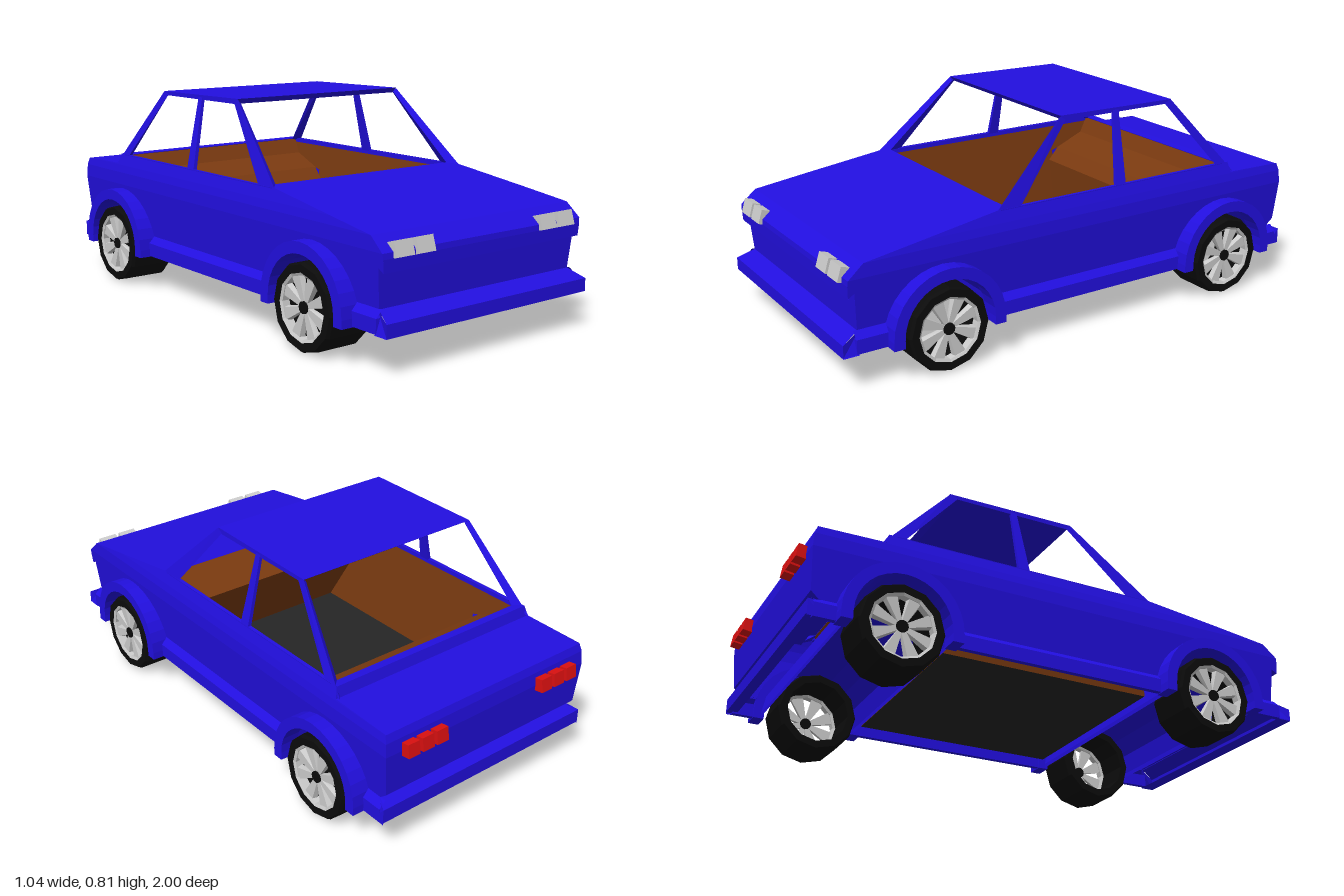
import * as THREE from 'three';
import { ConvexGeometry } from 'three/addons/geometries/ConvexGeometry.js';

const mat = (color) => new THREE.MeshStandardMaterial({ color, flatShading: true, side: THREE.DoubleSide });
const blue = mat(0x220fe0), brown = mat(0x7a3a10), dark = mat(0x262626), black = mat(0x0b0b0b);
const grey = mat(0xcccccc), red = mat(0xdd1111);

const WHEEL_Z = [0.615, -0.65], WHEEL_Y = 0.157;

function add(parent, name, geometry, material) {
  const mesh = new THREE.Mesh(geometry, material);
  mesh.name = name;
  parent.add(mesh);
  return mesh;
}

// Sheet spanning the width, following [z, y, halfWidth] rows
function strip(rows) {
  const pos = [], index = [];
  rows.forEach(([z, y, w], i) => {
    pos.push(w, y, z, -w, y, z);
    if (i) index.push(2 * i - 2, 2 * i, 2 * i - 1, 2 * i - 1, 2 * i, 2 * i + 1);
  });
  const g = new THREE.BufferGeometry();
  g.setAttribute('position', new THREE.Float32BufferAttribute(pos, 3));
  g.setIndex(index);
  g.computeVertexNormals();
  return g;
}

// Flat outline in (z, y), placed at x = width(y)
function sidePanel(points, width) {
  const g = new THREE.ShapeGeometry(new THREE.Shape(points.map(([z, y]) => new THREE.Vector2(z, y))));
  const p = g.attributes.position;
  for (let i = 0; i < p.count; i++) p.setXYZ(i, width(p.getY(i)), p.getY(i), p.getX(i));
  g.computeVertexNormals();
  return g;
}

// Outline in (z, y), extruded from x0 to x1
function extrudeX(shape, x0, x1) {
  const g = new THREE.ExtrudeGeometry(shape, { depth: x1 - x0, bevelEnabled: false, curveSegments: 8 });
  return g.rotateY(-Math.PI / 2).translate(x1, 0, 0);
}

const outline = (pts) => new THREE.Shape(pts.map(([z, y]) => new THREE.Vector2(z, y)));
const hull = (pts) => new ConvexGeometry(pts.map((p) => new THREE.Vector3(...p)));
const lerp = (y, y0, y1, a, b) => a + (b - a) * (y - y0) / (y1 - y0);

// Points round a wheel opening, from its front to its rear foot
function archCut(z, r, y) {
  const a = Math.asin((y - WHEEL_Y) / r);
  return Array.from({ length: 9 }, (_, i) => {
    const t = a + (Math.PI - 2 * a) * i / 8;
    return [z + r * Math.cos(t), WHEEL_Y + r * Math.sin(t)];
  });
}

function createWheel() {
  const wheel = new THREE.Group();
  wheel.name = 'wheel';
  const h = 0.0925;
  const profile = [[0.122, -h], [0.15, -h], [0.157, -0.08], [0.157, 0.08], [0.15, h], [0.122, h], [0.122, -h]];
  add(wheel, 'tyre', new THREE.LatheGeometry(profile.map((p) => new THREE.Vector2(...p)), 12).rotateZ(-Math.PI / 2), black);
  const rim = [[0.122, 0.09], [0.112, 0.085], [0.112, 0.055], [0.122, 0.05]];
  add(wheel, 'rim', new THREE.LatheGeometry(rim.map((p) => new THREE.Vector2(...p)), 12).rotateZ(-Math.PI / 2), grey);
  for (let i = 0; i < 8; i++) {
    const spoke = add(wheel, 'spoke', hull([
      [0.078, 0.015, -0.008], [0.078, 0.015, 0.008], [0.062, 0.015, -0.008], [0.062, 0.015, 0.008],
      [0.082, 0.115, -0.022], [0.082, 0.115, 0.022], [0.06, 0.115, -0.027], [0.06, 0.115, 0.027],
    ]), grey);
    spoke.rotation.x = (i + 0.5) * Math.PI / 4;
  }
  add(wheel, 'hubCap', new THREE.CylinderGeometry(0.022, 0.022, 0.03, 12).rotateZ(Math.PI / 2).translate(0.07, 0, 0), black);
  return wheel;
}

// Everything on the left side; the right side mirrors it
function createSide() {
  const side = new THREE.Group();
  const lower = [
    [0.935, 0.21], ...WHEEL_Z.flatMap((z) => archCut(z, 0.2, 0.21)),
    [-0.92, 0.21], [-0.955, 0.24], [-0.965, 0.4], [0.968, 0.4], [0.97, 0.38], [0.968, 0.335], [0.945, 0.35],
  ];
  add(side, 'lowerSide', sidePanel(lower, (y) => lerp(y, 0.21, 0.4, 0.452, 0.47)), blue);

  // Bands tapering up to the window line: [y, frontZ, backZ, halfWidth]
  const bands = [[0.4, 0.968, -0.965, 0.47], [0.45, 0.91, -0.96, 0.468], [0.48, 0.7, -0.95, 0.462], [0.525, 0.38, -0.69, 0.45]];
  for (let i = 0; i < 3; i++) {
    const [y0, f0, b0, w0] = bands[i], [y1, f1, b1, w1] = bands[i + 1];
    const rear = i === 2 ? [[b1, y1], [-0.7, 0.485]] : [[b1, y1]];
    add(side, 'upperSide', sidePanel([[f0, y0], [f1, y1], ...rear, [b0, y0]], (y) => lerp(y, y0, y1, w0, w1)), blue);
  }

  // Sills and bumper returns between the wheel openings
  for (const [a, b] of [[0.95, 0.81], [0.42, -0.455], [-0.845, -0.95]]) {
    add(side, 'sill', extrudeX(outline([[a, 0.138], [b, 0.138], [b, 0.19], [a, 0.19]]), 0.458, 0.478), blue);
    add(side, 'sillTop', sidePanel([[a, 0.19], [b, 0.19], [b, 0.215], [a, 0.215]], (y) => lerp(y, 0.19, 0.215, 0.478, 0.452)), blue);
  }

  // Wheel arch flares
  for (const z of WHEEL_Z) {
    const s = new THREE.Shape();
    s.moveTo(z + 0.22, 0.135);
    s.lineTo(z + 0.22, 0.165);
    s.absarc(z, 0.165, 0.22, 0, Math.PI, false);
    s.lineTo(z - 0.22, 0.135);
    s.lineTo(z - 0.178, 0.135);
    s.absarc(z, 0.165, 0.178, Math.PI, 0, true);
    s.lineTo(z + 0.178, 0.135);
    add(side, 'wheelArch', extrudeX(s, 0.452, 0.522), blue);
    const wheel = createWheel();
    wheel.position.set(0.4225, WHEEL_Y, z);
    side.add(wheel);
  }

  // Roof pillars and window ledge
  add(side, 'frontPillar', hull([
    [0.45, 0.525, 0.38], [0.418, 0.53, 0.345], [0.448, 0.52, 0.285],
    [0.39, 0.805, 0.078], [0.376, 0.79, 0.078], [0.39, 0.79, 0.055]]), blue);
  add(side, 'middlePillar', hull([
    [0.45, 0.52, -0.137], [0.45, 0.52, -0.182], [0.435, 0.52, -0.137], [0.435, 0.52, -0.182],
    [0.39, 0.795, -0.16], [0.39, 0.795, -0.185], [0.378, 0.795, -0.16], [0.378, 0.795, -0.185]]), blue);
  add(side, 'rearPillar', hull([
    [0.455, 0.485, -0.715], [0.42, 0.52, -0.655], [0.45, 0.52, -0.63],
    [0.39, 0.8, -0.435], [0.376, 0.788, -0.43], [0.39, 0.788, -0.405]]), blue);
  add(side, 'windowLedge', extrudeX(outline([[0.37, 0.505], [0.37, 0.524], [-0.66, 0.524], [-0.66, 0.505]]), 0.436, 0.451), blue);
  add(side, 'cabinWall', sidePanel([[0.35, 0.522], [0.38, 0.15], [-0.45, 0.15], [-0.46, 0.4], [-0.65, 0.45], [-0.65, 0.522]],
    (y) => lerp(y, 0.15, 0.522, 0.39, 0.438)), brown);

  // Lamps
  for (const x of [0.292, 0.385]) {
    const lamp = add(side, 'headlamp', new THREE.BoxGeometry(x < 0.3 ? 0.075 : 0.078, 0.055, 0.04), grey);
    lamp.position.set(x, 0.404, 0.958);
    lamp.rotation.x = -0.3;
  }
  for (let i = 0; i < 3; i++) {
    const lamp = add(side, 'tailLamp', new THREE.BoxGeometry(0.05, 0.05, 0.04), red);
    lamp.position.set(0.25 + i * 0.063, 0.408, -0.976);
    lamp.rotation.x = 0.15;
  }
  return side;
}

export function createModel() {
  const car = new THREE.Group();
  car.name = 'car';
  const left = createSide(), right = createSide();
  left.name = 'leftSide';
  right.name = 'rightSide';
  right.scale.x = -1;
  car.add(left, right);

  // Nose, hood and windscreen base
  add(car, 'noseAndHood', strip([
    [0.935, 0.21, 0.452], [0.945, 0.35, 0.465], [0.968, 0.335, 0.464], [0.97, 0.38, 0.468], [0.968, 0.4, 0.47],
    [0.91, 0.45, 0.468], [0.7, 0.48, 0.462], [0.38, 0.525, 0.45], [0.345, 0.53, 0.44]]), blue);
  // Trunk and tail
  add(car, 'trunkAndTail', strip([
    [-0.655, 0.522, 0.44], [-0.69, 0.525, 0.45], [-0.7, 0.485, 0.461], [-0.95, 0.478, 0.462], [-0.96, 0.45, 0.468],
    [-0.965, 0.4, 0.47], [-0.955, 0.24, 0.455], [-0.92, 0.21, 0.452]]), blue);

  // Bumpers, tapering towards the top
  add(car, 'frontBumper', strip([[0.93, 0.215, 0.45], [1, 0.182, 0.478], [1, 0.134, 0.478], [0.94, 0.134, 0.478]]), blue);
  add(car, 'rearBumper', strip([[-0.915, 0.217, 0.452], [-0.97, 0.198, 0.478], [-0.97, 0.145, 0.478], [-0.93, 0.145, 0.478]]), blue);
  for (const [name, a, b, t] of [['frontBumperEnd', 1, 0.93, 0.182], ['rearBumperEnd', -0.97, -0.915, 0.198]]) {
    for (const s of [1, -1]) {
      add(car, name, sidePanel([[a, 0.138], [a, t], [b, 0.21], [b, 0.138]], (y) => s * (y > 0.2 ? 0.452 : 0.478)), blue);
    }
  }

  // Wheel tunnels across the underside
  for (const z of WHEEL_Z) {
    const rows = archCut(z, 0.19, WHEEL_Y).map(([tz, ty]) => [tz, ty, 0.46]);
    add(car, 'wheelTunnel', strip([[z + 0.19, 0.14, 0.46], ...rows, [z - 0.19, 0.14, 0.46]]), blue);
  }

  // Roof
  add(car, 'roof', hull([1, -1].flatMap((s) => [
    [s * 0.39, 0.807, 0.078], [s * 0.39, 0.8, -0.437], [s * 0.39, 0.787, 0.06], [s * 0.39, 0.785, -0.415]])), blue);

  // Cabin
  add(car, 'dashboard', strip([[0.345, 0.528, 0.438], [0.22, 0.44, 0.426], [0.38, 0.15, 0.39]]), brown);
  add(car, 'rearSeat', strip([
    [-0.655, 0.52, 0.437], [-0.62, 0.46, 0.43], [-0.49, 0.41, 0.423], [-0.44, 0.36, 0.417], [-0.45, 0.15, 0.39]]), brown);
  add(car, 'floor', strip([[0.38, 0.15, 0.39], [-0.45, 0.15, 0.39]]), dark);
  return car;
}
